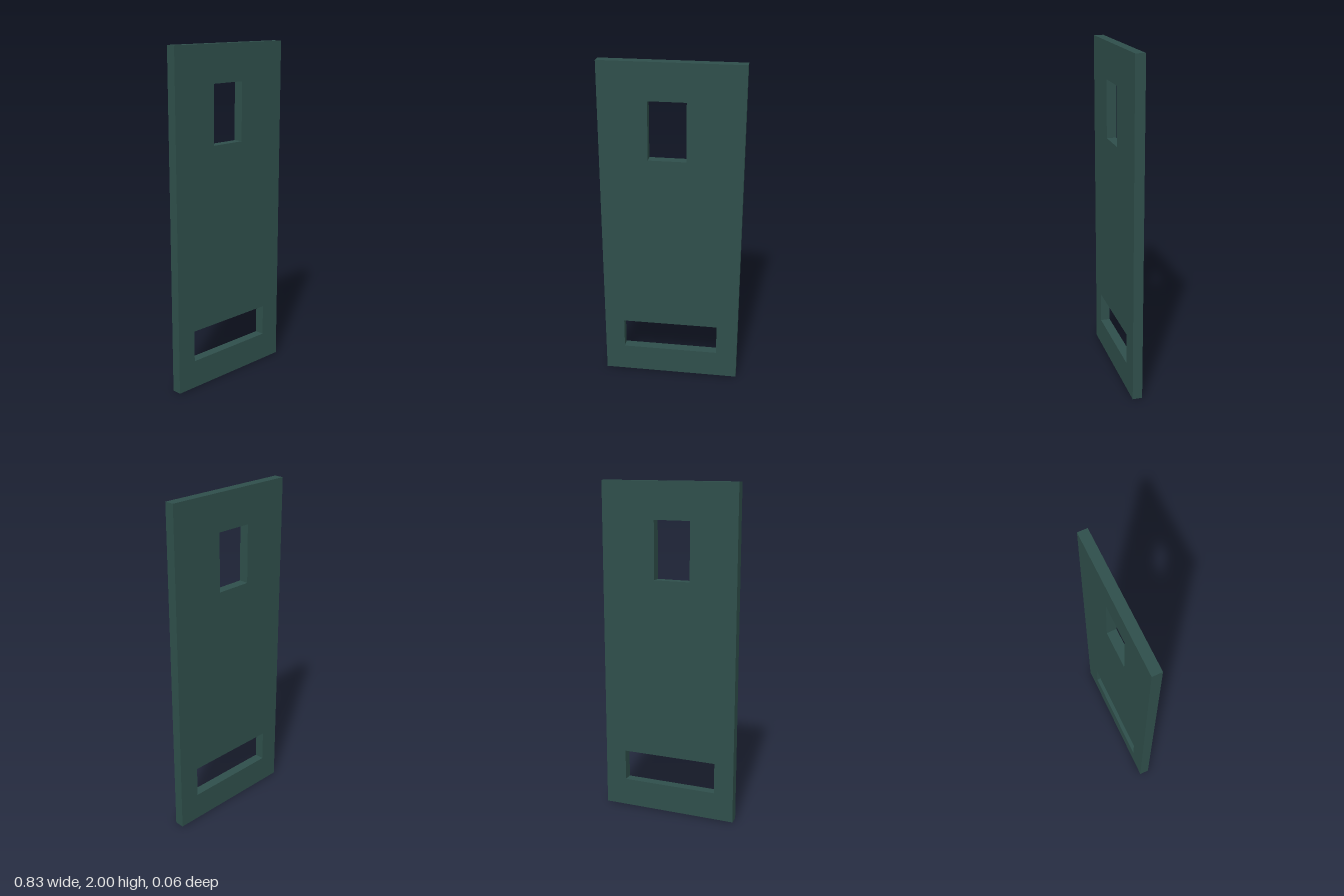
import * as THREE from 'three';

const WIDTH = 0.83, HEIGHT = 2, DEPTH = 0.058;

// Traces a rectangle from its left, right, bottom and top edges
function rectangle(path, left, right, bottom, top) {
  path.moveTo(left, bottom);
  path.lineTo(right, bottom);
  path.lineTo(right, top);
  path.lineTo(left, top);
  path.closePath();
  return path;
}

export function createModel() {
  const group = new THREE.Group();
  group.name = 'doorPanel';

  const darkGreen = new THREE.MeshStandardMaterial({ color: 0x2f4f4b });
  darkGreen.name = 'darkSlateGreen';

  // Door leaf with a window opening and a low vent opening
  const outline = rectangle(new THREE.Shape(), -WIDTH / 2, WIDTH / 2, 0, HEIGHT);
  outline.holes.push(
    rectangle(new THREE.Path(), -0.132, 0.088, 1.436, 1.782),
    rectangle(new THREE.Path(), -0.296, 0.286, 0.169, 0.357),
  );
  const geometry = new THREE.ExtrudeGeometry(outline, { depth: DEPTH, bevelEnabled: false });
  geometry.translate(0, 0, -DEPTH / 2);

  const leaf = new THREE.Mesh(geometry, darkGreen);
  leaf.name = 'doorLeaf';
  leaf.rotation.y = -0.008; // hangs very slightly ajar
  group.add(leaf);

  return group;
}
